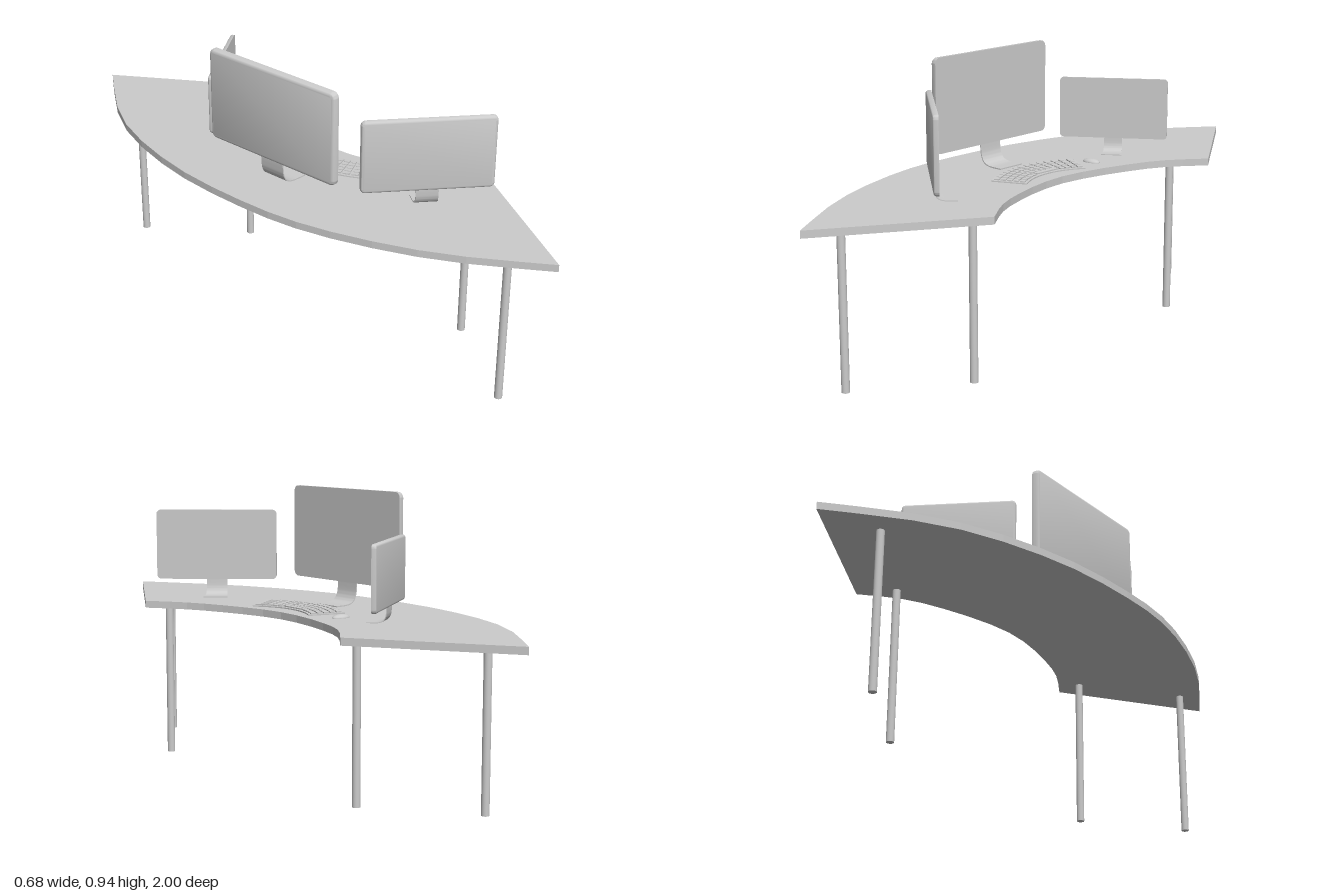
import * as THREE from 'three';
import { mergeGeometries, toCreasedNormals } from 'three/addons/utils/BufferGeometryUtils.js';

const DESK_TOP = 0.545;
const material = new THREE.MeshStandardMaterial({ color: 0xcccccc });

function part(name, geometry) {
  const mesh = new THREE.Mesh(geometry, material);
  mesh.name = name;
  return mesh;
}

// Smooth curve through plan points [x, z], as shape points (y = -z)
function planCurve(points, segments) {
  return new THREE.SplineCurve(points.map(([x, z]) => new THREE.Vector2(x, -z))).getPoints(segments);
}

// Crescent desk top: outer arc, then inner arc back
function createDeskTop() {
  const outer = planCurve([[0.04, -1], [-0.19, -0.69], [-0.31, -0.33], [-0.34, 0.03], [-0.31, 0.33], [-0.19, 0.68], [0, 1]], 16);
  const inner = planCurve([[0.31, 0.52], [0.2, 0.33], [0.13, 0], [0.21, -0.35], [0.335, -0.53]], 16);
  const geometry = new THREE.ExtrudeGeometry(new THREE.Shape([...outer, ...inner]), { depth: 0.024, bevelEnabled: false });
  geometry.rotateX(-Math.PI / 2);
  geometry.translate(0, DESK_TOP - 0.024, 0);
  return part('deskTop', geometry);
}

function roundedRect(w, h, r) {
  const s = new THREE.Shape();
  const x = w / 2, y = h / 2;
  s.absarc(x - r, y - r, r, 0, Math.PI / 2);
  s.absarc(-x + r, y - r, r, Math.PI / 2, Math.PI);
  s.absarc(-x + r, -y + r, r, Math.PI, Math.PI * 1.5);
  s.absarc(x - r, -y + r, r, Math.PI * 1.5, Math.PI * 2);
  return s;
}

// Panel facing +z: flat screen, rounded rim at the back
function panelGeometry(w, h, depth) {
  const bevel = 0.012;
  const geometry = new THREE.ExtrudeGeometry(roundedRect(w - bevel * 2, h - bevel * 2, 0.008), {
    depth: depth - bevel, bevelThickness: bevel, bevelSize: bevel, bevelSegments: 4, curveSegments: 4,
  });
  const pos = geometry.attributes.position;
  for (let i = 0; i < pos.count; i++) pos.setZ(i, Math.min(pos.getZ(i), depth - bevel));
  geometry.translate(0, 0, bevel - depth / 2);
  return toCreasedNormals(geometry, 0.6);
}

// Bent strip: down from the panel, curving forward into a foot
function standGeometry(width) {
  const path = new THREE.CatmullRomCurve3([
    [-0.002, 0.09], [-0.001, 0.06], [0.003, 0.033], [0.015, 0.013], [0.037, 0.004], [0.095, 0.0025],
  ].map(([z, y]) => new THREE.Vector3(z, y, 0)));
  const front = [], back = [];
  for (let i = 0; i <= 20; i++) {
    const p = path.getPoint(i / 20), t = path.getTangent(i / 20);
    front.push(new THREE.Vector2(p.x - t.y * 0.002, p.y + t.x * 0.002));
    back.unshift(new THREE.Vector2(p.x + t.y * 0.002, p.y - t.x * 0.002));
  }
  const geometry = new THREE.ExtrudeGeometry(new THREE.Shape([...front, ...back]), { depth: width, bevelEnabled: false });
  geometry.translate(0, 0, -width / 2);
  geometry.rotateY(-Math.PI / 2);
  // The foot widens slightly toward its tip
  const pos = geometry.attributes.position;
  for (let i = 0; i < pos.count; i++) pos.setX(i, pos.getX(i) * (1 + 1.5 * Math.max(0, pos.getZ(i))));
  return toCreasedNormals(geometry, 0.6);
}

function createMonitor(name, x, z, scale, angle, width) {
  const monitor = new THREE.Group();
  monitor.name = name;
  const panel = part('screenPanel', panelGeometry(width / scale, 0.317, 0.023));
  panel.position.y = 0.075 + 0.317 / 2;
  monitor.add(panel, part('monitorStand', standGeometry(0.094)));
  monitor.scale.setScalar(scale);
  monitor.position.set(x, DESK_TOP, z);
  monitor.rotation.y = angle;
  return monitor;
}

// Curved keyboard: ring sector around a centre in front of the desk
function createKeyboard() {
  const keyboard = new THREE.Group();
  keyboard.name = 'keyboard';
  const half = 0.545, inner = 0.282, outer = 0.4, cx = 0.24;
  const plate = new THREE.Shape();
  plate.absarc(cx, 0, outer, Math.PI - half, Math.PI + half, false);
  plate.absarc(cx, 0, inner, Math.PI + half, Math.PI - half, true);
  const plateGeometry = new THREE.ExtrudeGeometry(plate, { depth: 0.004, bevelEnabled: false, curveSegments: 16 });
  plateGeometry.rotateX(-Math.PI / 2);

  const keys = [];
  const rows = 5, columns = 14;
  const pitch = (outer - inner - 0.012) / rows, step = (half * 2 - 0.03) / columns;
  for (let row = 0; row < rows; row++) {
    const radius = inner + 0.006 + pitch * (row + 0.5);
    for (let col = 0; col < columns; col++) {
      // One wide space bar in the nearest row
      if (row === 0 && col > 4 && col < 9) continue;
      const wide = row === 0 && col === 4;
      const a = (col + (wide ? 2 : 0) - (columns - 1) / 2) * step;
      const key = new THREE.BoxGeometry(pitch * 0.78, 0.004, radius * step * (wide ? 4.6 : 0.78));
      key.rotateY(a);
      key.translate(cx - Math.cos(a) * radius, 0.006, Math.sin(a) * radius);
      keys.push(key);
    }
  }
  keyboard.add(part('keyboardPlate', plateGeometry), part('keys', mergeGeometries(keys)));
  keyboard.position.set(0.12, DESK_TOP, 0.017);
  keyboard.rotation.z = -0.045;
  return keyboard;
}

// Low half-dome mouse
function createMouse() {
  const mouse = part('mouse', new THREE.SphereGeometry(1, 20, 8, 0, Math.PI * 2, 0, Math.PI / 2));
  mouse.scale.set(0.034, 0.012, 0.02);
  mouse.position.set(0.066, DESK_TOP, -0.225);
  return mouse;
}

export function createModel() {
  const model = new THREE.Group();
  model.name = 'curvedDesk';
  model.add(createDeskTop());

  // Round legs
  const legHeight = DESK_TOP - 0.02;
  for (const [x, z] of [[-0.017, 0.833], [0.215, 0.514], [0.215, -0.469], [-0.017, -0.79]]) {
    const leg = part('leg', new THREE.CylinderGeometry(0.013, 0.013, legHeight, 20));
    leg.position.set(x, legHeight / 2, z);
    model.add(leg);
  }

  model.add(
    createMonitor('centreMonitor', -0.1765, 0.018, 1, Math.PI / 2, 0.535),
    createMonitor('leftMonitor', 0.024, 0.49, 0.775, Math.atan2(0.285, -0.32), 0.425),
    createMonitor('rightMonitor', 0.02, -0.4, 0.665, Math.atan2(0.205, 0.32), 0.375),
    createKeyboard(),
    createMouse(),
  );
  return model;
}
